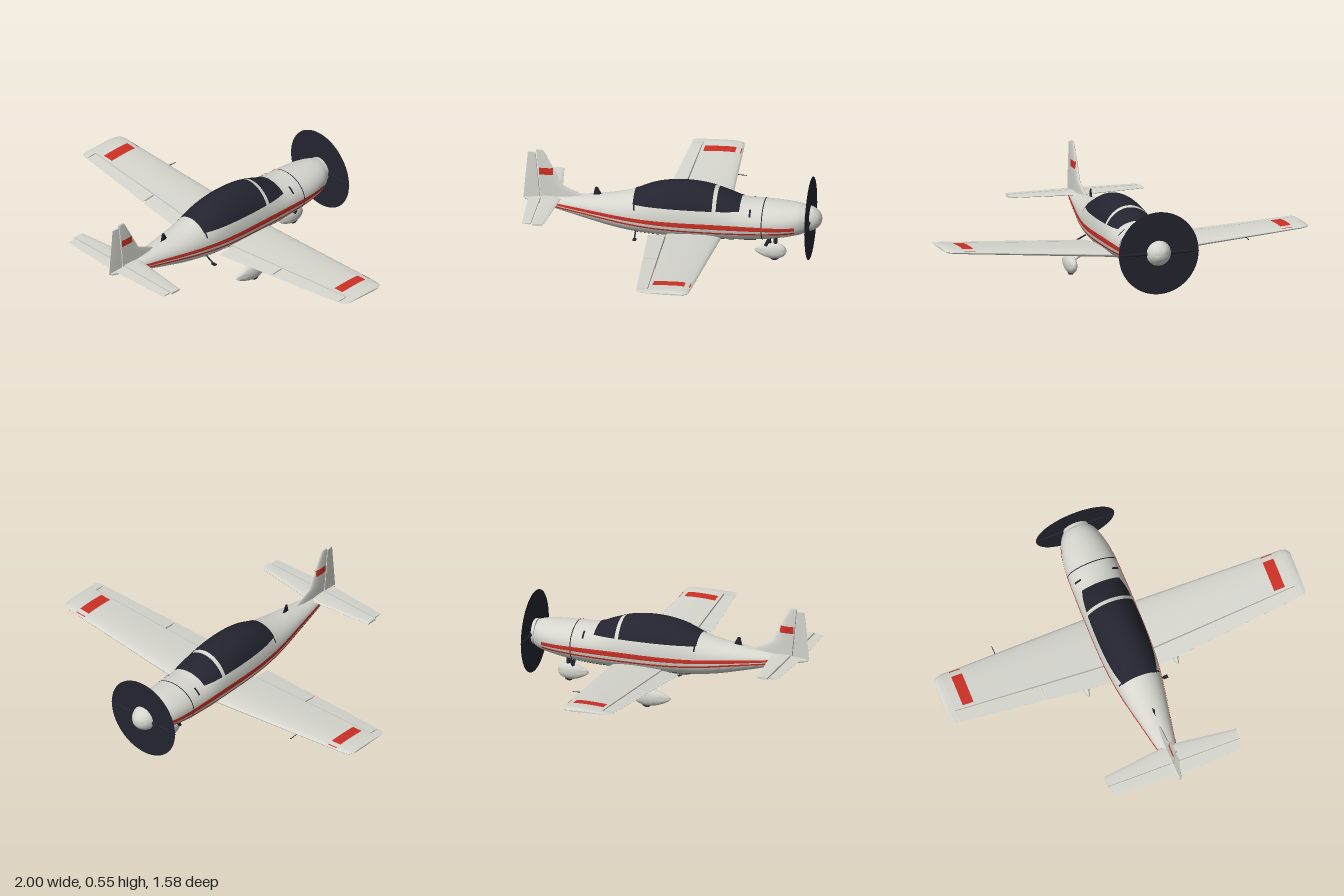
import * as THREE from 'three';
import { toCreasedNormals } from 'three/addons/utils/BufferGeometryUtils.js';

const mat = (name, color, side = THREE.FrontSide) => new THREE.MeshStandardMaterial({ name, color, side });

// Interpolates the columns of a table by its first column, smooth or linear
function table(rows, smooth) {
  return (s) => {
    let i = 0;
    while (i < rows.length - 2 && s > rows[i + 1][0]) i++;
    const a = rows[i], b = rows[i + 1], p = rows[i - 1] || a, q = rows[i + 2] || b;
    const d = b[0] - a[0], t = (s - a[0]) / d;
    return a.slice(1).map((v, k) => {
      const c = k + 1;
      if (!smooth) return v + (b[c] - v) * t;
      const m0 = (b[c] - p[c]) / (b[0] - p[0]) * d, m1 = (q[c] - v) / (q[0] - a[0]) * d;
      const t2 = t * t, t3 = t2 * t;
      return (2 * t3 - 3 * t2 + 1) * v + (t3 - 2 * t2 + t) * m0 + (3 * t2 - 2 * t3) * b[c] + (t3 - t2) * m1;
    });
  };
}

// Closed skin through equal rings, capped at both ends and always facing outward
function loft(rings, crease = 0.7) {
  const n = rings[0].length, pos = rings.flat(2), index = [];
  for (let i = 0; i < rings.length - 1; i++) for (let j = 0; j < n; j++) {
    const a = i * n + j, b = i * n + (j + 1) % n;
    index.push(a, b, a + n, b, b + n, a + n);
  }
  [0, rings.length - 1].forEach((r, end) => {
    const centre = pos.length / 3;
    for (let k = 0; k < 3; k++) pos.push(rings[r].reduce((s, p) => s + p[k], 0) / n);
    for (let j = 0; j < n; j++) {
      const a = r * n + j, b = r * n + (j + 1) % n;
      index.push(...(end ? [a, b, centre] : [b, a, centre]));
    }
  });
  const v = (i) => new THREE.Vector3().fromArray(pos, i * 3);
  let volume = 0;
  for (let i = 0; i < index.length; i += 3) volume += v(index[i]).dot(v(index[i + 1]).cross(v(index[i + 2])));
  if (volume < 0) index.reverse();
  const g = new THREE.BufferGeometry();
  g.setAttribute('position', new THREE.Float32BufferAttribute(pos, 3));
  g.setIndex(index);
  return toCreasedNormals(g, crease);
}

// Open sheet from a rule over u, v in 0..1
function sheet(fn, nu, nv) {
  const pos = [], index = [];
  for (let i = 0; i <= nu; i++) for (let j = 0; j <= nv; j++) {
    pos.push(...fn(i / nu, j / nv));
    const a = i * (nv + 1) + j;
    if (i < nu && j < nv) index.push(a, a + 1, a + nv + 1, a + 1, a + nv + 2, a + nv + 1);
  }
  const g = new THREE.BufferGeometry();
  g.setAttribute('position', new THREE.Float32BufferAttribute(pos, 3));
  g.setIndex(index);
  g.computeVertexNormals();
  return g;
}

const range = (n, fn) => Array.from({ length: n + 1 }, (_, i) => fn(i / n));
const mix = THREE.MathUtils.lerp;

// Fuselage sections: z, half width, bottom, widest height, top
const hull = table([
  [-0.71, 0.08, 0.178, 0.25, 0.316], [-0.68, 0.1, 0.168, 0.247, 0.324], [-0.6, 0.124, 0.152, 0.24, 0.332],
  [-0.5, 0.135, 0.137, 0.235, 0.336], [-0.37, 0.139, 0.127, 0.23, 0.343], [-0.3, 0.14, 0.125, 0.23, 0.37],
  [-0.2, 0.14, 0.124, 0.23, 0.403], [-0.1, 0.14, 0.124, 0.23, 0.416], [0, 0.138, 0.125, 0.23, 0.413],
  [0.1, 0.132, 0.128, 0.23, 0.392], [0.2, 0.12, 0.134, 0.232, 0.35], [0.3, 0.104, 0.148, 0.236, 0.325],
  [0.4, 0.085, 0.17, 0.24, 0.31], [0.5, 0.066, 0.194, 0.246, 0.298], [0.6, 0.047, 0.22, 0.253, 0.288],
  [0.7, 0.026, 0.243, 0.262, 0.28], [0.78, 0.008, 0.26, 0.266, 0.272]], true);
function hullPoint(z, a, lift = 0) {
  const [w, yb, yc, yt] = hull(z), c = Math.cos(a), s = Math.sin(a);
  const x = s > 0 ? c : Math.sign(c) * Math.abs(c) ** 0.85;
  const y = s > 0 ? (yt - yc) * s : -(yc - yb) * Math.abs(s) ** 0.85;
  return [w * x + lift * c, yc + y + lift * s, z];
}
function hullAngle(z, y) {
  const [, yb, yc, yt] = hull(z);
  return y > yc ? Math.asin(Math.min(1, (y - yc) / (yt - yc))) : -Math.asin(Math.min(1, (yc - y) / (yc - yb)) ** (1 / 0.85));
}

// Lifting surfaces: span, leading edge, trailing edge, mid height, thickness
const wing = table([[0, -0.275, 0.116, 0.138, 0.05], [0.13, -0.27, 0.112, 0.15, 0.045],
  [0.955, -0.235, 0.045, 0.212, 0.027], [0.985, -0.226, 0.042, 0.214, 0.02], [1, -0.2, 0.025, 0.214, 0.008]]);
const tail = table([[0, 0.585, 0.76, 0.28, 0.016], [0.37, 0.63, 0.743, 0.28, 0.011]]);
const fin = table([[0.26, 0.46, 0.79, 0, 0.022], [0.305, 0.48, 0.787, 0, 0.02], [0.35, 0.58, 0.783, 0, 0.02],
  [0.525, 0.674, 0.767, 0, 0.013], [0.545, 0.688, 0.764, 0, 0.01]]);
function halfThickness(body, s, z) {
  const [le, te, , th] = body(s), c = THREE.MathUtils.clamp((z - le) / (te - le), 0, 1);
  return 5 * th * (0.2969 * Math.sqrt(c) - 0.126 * c - 0.3516 * c ** 2 + 0.2843 * c ** 3 - 0.1015 * c ** 4);
}
// Slice of a lifting surface between two chord lines, through the given span stations
function foil(body, spans, from, to, upright = false, sign = 1) {
  return loft(spans.map((s) => {
    const [le, te, mid] = body(s), a = from ? from(s) : le, b = to ? to(s) : te;
    const zs = range(14, (t) => mix(a, b, from ? t : t * t));
    const at = (z, k) => {
      const h = k * halfThickness(body, s, z);
      return upright ? [h, s, z] : [sign * s, mid + h, z];
    };
    return [...zs.map((z) => at(z, 1)), ...zs.reverse().map((z) => at(z, -1))];
  }));
}

// Round body along z from a radius rule
function pod(z0, z1, w, h, rule) {
  return loft(range(24, (t) => range(23, (u) => {
    const r = Math.max(rule(t), 0.001), a = u * Math.PI * 2 * 23 / 24;
    return [w * r * Math.cos(a), h * r * Math.sin(a), mix(z0, z1, t)];
  })), 1);
}
const teardrop = (t) => Math.max(0, Math.sin(Math.PI * t ** 0.75)) ** 0.7;

export function createModel() {
  const root = new THREE.Group();
  root.name = 'aeroplane';
  const white = mat('white paint', 0xd6d6cf), dark = mat('dark glass', 0x242430, THREE.DoubleSide);
  const red = mat('red paint', 0xcc3025, THREE.DoubleSide);
  const add = (name, geometry, material, x = 0, y = 0, z = 0) => {
    const m = new THREE.Mesh(geometry, material);
    m.name = name;
    m.position.set(x, y, z);
    root.add(m);
    return m;
  };
  const rod = (name, a, b, r, material) => {
    const p = new THREE.Vector3(...a), q = new THREE.Vector3(...b), d = q.clone().sub(p);
    const m = add(name, new THREE.CylinderGeometry(r, r, d.length(), 10), material, ...p.clone().add(q).multiplyScalar(0.5));
    m.quaternion.setFromUnitVectors(new THREE.Vector3(0, 1, 0), d.normalize());
  };

  // Fuselage, canopy glass and cowling seam
  add('fuselage', loft(range(90, (t) => range(47, (u) => hullPoint(mix(-0.71, 0.78, t), u * Math.PI * 2 * 47 / 48)))), white);
  for (const [name, z0, z1] of [['windscreen', -0.368, -0.247], ['canopy', -0.226, 0.197]]) {
    add(name, sheet((u, v) => {
      const z = mix(z0, z1, u), a = hullAngle(z, 0.306);
      return hullPoint(z, mix(a, Math.PI - a, v), 0.0025);
    }, 40, 32), dark);
  }
  add('cowlingSeam', sheet((u, v) => hullPoint(mix(-0.492, -0.487, u), mix(-0.9, Math.PI + 0.9, v), 0.0015), 1, 40), dark);

  // Side stripes: z, lower edge, upper edge
  const stripes = [
    ['wideStripe', red, [[-0.66, 0.217, 0.235], [-0.3, 0.212, 0.239], [0, 0.212, 0.237], [0.2, 0.219, 0.239], [0.4, 0.233, 0.25], [0.68, 0.26, 0.268]]],
    ['narrowStripe', red, [[-0.66, 0.199, 0.208], [-0.3, 0.186, 0.195], [0, 0.186, 0.195], [0.2, 0.196, 0.205], [0.4, 0.217, 0.226], [0.66, 0.247, 0.253]]],
    ['lowerSeam', dark, [[-0.5, 0.145, 0.15], [0.18, 0.145, 0.15]]],
    ['sideVent', dark, [[-0.43, 0.285, 0.315], [-0.42, 0.285, 0.315]]],
    ['canopyLatch', dark, [[0.185, 0.28, 0.306], [0.193, 0.28, 0.306]]]];
  for (const [name, material, rows] of stripes) for (const sign of [1, -1]) {
    const edge = table(rows, true);
    add(name, sheet((u, v) => {
      const z = mix(rows[0][0], rows[rows.length - 1][0], u), [lo, hi] = edge(z);
      const p = hullPoint(z, hullAngle(z, mix(lo, hi, v)), 0.0025);
      return [sign * p[0], p[1], z];
    }, 60, 5), material);
  }

  // Wings, tailplane and main gear, mirrored
  const hinge = (s) => mix(0.012, -0.02, (s - 0.13) / 0.82), behind = (s) => hinge(s) + 0.007;
  for (const sign of [1, -1]) {
    add('wing', foil(wing, [0, 0.13, 0.955], null, hinge, false, sign), white);
    add('wingTip', foil(wing, [0.955, 0.97, 0.985, 0.994, 1], null, null, false, sign), white);
    add('flap', foil(wing, [0.125, 0.483], behind, null, false, sign), white);
    add('aileron', foil(wing, [0.491, 0.949], behind, null, false, sign), white);
    for (const [name, z0, z1] of [['wingBand', -0.2, -0.032], ['wingEdgeMark', -0.231, -0.226]]) {
      add(name, sheet((u, v) => {
        const s = mix(0.845, 0.905, u), z = mix(z0, z1, v);
        return [sign * s, wing(s)[2] + halfThickness(wing, s, z) + 0.002, z];
      }, 1, 14), red);
    }
    add('tailplane', foil(tail, [0, 0.37], null, () => 0.688, false, sign), white);
    add('elevator', foil(tail, [0.014, 0.36], () => 0.696, null, false, sign), white);
    add('finMark', sheet((u, v) => {
      const y = mix(0.408, 0.446, u), z = mix(0.632, 0.706, v);
      return [sign * (halfThickness(fin, y, z) + 0.002), y, z];
    }, 1, 6), red);

    add('mainWheelFairing', pod(-0.1, 0.113, 0.028, 0.049, teardrop), white, sign * 0.25, 0.056, 0);
    add('mainWheel', new THREE.CylinderGeometry(0.03, 0.03, 0.018, 20).rotateZ(Math.PI / 2), dark, sign * 0.25, 0.03, -0.02);
    rod('mainLeg', [sign * 0.245, 0.075, -0.03], [sign * 0.12, 0.15, -0.03], 0.008, white);
  }

  // Fin and rudder
  const post = (y) => mix(0.694, 0.722, (y - 0.26) / 0.285);
  add('fin', foil(fin, [0.26, 0.305, 0.35, 0.525, 0.545], null, post, true), white);
  add('rudder', foil(fin, [0.266, 0.305, 0.35, 0.53], (y) => post(y) + 0.006, null, true), white);

  // Spinner, propeller blades and spinning disc
  add('spinner', pod(-0.715, -0.793, 0.07, 0.07, (t) => Math.sqrt(1 - t ** 1.7)), white, 0, 0.25, 0);
  add('propellerShaft', new THREE.CylinderGeometry(0.035, 0.035, 0.02, 20).rotateX(Math.PI / 2), dark, 0, 0.25, -0.713);
  add('propellerDisc', new THREE.CircleGeometry(0.22, 64), dark, 0, 0.25, -0.732);
  for (const sign of [1, -1]) {
    const blade = add('propellerBlade', new THREE.CylinderGeometry(0.003, 0.011, 0.17, 10).scale(1, 1, 0.8), dark, sign * 0.135, 0.25, -0.732);
    blade.rotation.z = -sign * Math.PI / 2;
  }

  // Nose gear and exhausts
  add('noseWheelFairing', pod(-0.605, -0.432, 0.025, 0.046, teardrop), white, 0, 0.053, 0);
  add('noseWheel', new THREE.CylinderGeometry(0.028, 0.028, 0.016, 20).rotateZ(Math.PI / 2), dark, 0, 0.028, -0.54);
  rod('noseLeg', [0, 0.08, -0.545], [0, 0.16, -0.545], 0.011, dark);
  rod('noseStrut', [0, 0.06, -0.525], [0, 0.15, -0.505], 0.008, dark);
  for (const sign of [1, -1]) rod('exhaust', [sign * 0.05, 0.1, -0.5], [sign * 0.05, 0.16, -0.53], 0.009, dark);

  // Aerial, boarding step and pitot tube
  add('aerial', loft([[0.37, 0.42, 0.305], [0.395, 0.41, 0.352]].map(([a, b, y]) =>
    [[0, y, a], [0.004, y, (a + b) / 2], [0, y, b], [-0.004, y, (a + b) / 2]])), dark);
  rod('stepLeg', [0.1, 0.16, 0.18], [0.15, 0.135, 0.18], 0.004, dark);
  add('stepPad', new THREE.BoxGeometry(0.025, 0.006, 0.018), dark, 0.152, 0.133, 0.178);
  rod('pitotTube', [-0.64, 0.183, -0.295], [-0.64, 0.186, -0.23], 0.002, dark);
  return root;
}
